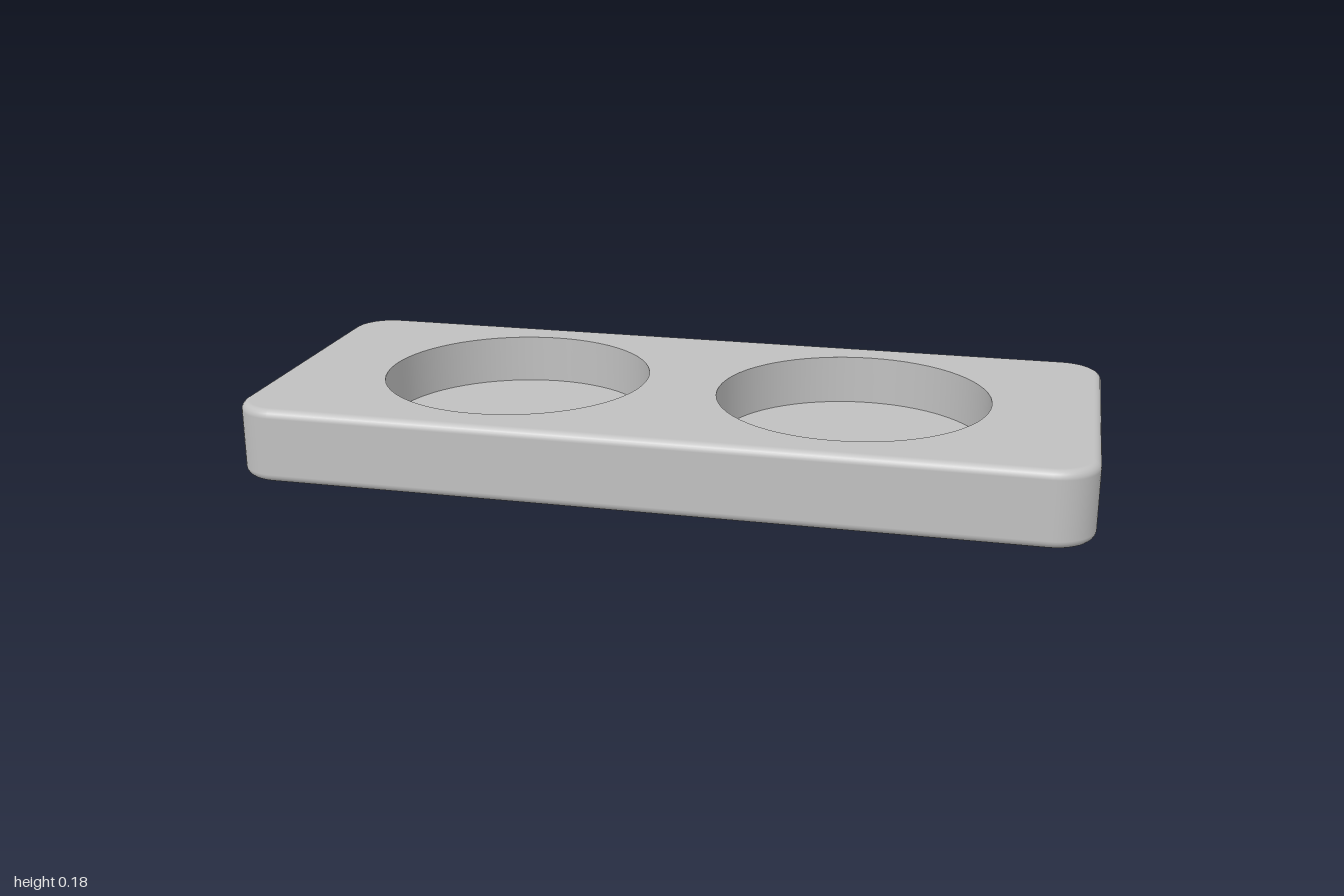
import * as THREE from 'three';

const HALF_X = 1, HALF_Z = 0.42, HEIGHT = 0.18;
const CORNER = 0.1, FILLET = 0.02, CORNER_STEPS = 12, FILLET_STEPS = 5;
const POCKET_X = 0.42, POCKET_R = 0.328, POCKET_FLOOR = 0.06, POCKET_SIDES = 64;

// Rounded rectangle pulled in by `inset`: points with their outward directions
function outline(inset) {
  const points = [];
  const signs = [[1, 1], [-1, 1], [-1, -1], [1, -1]];
  signs.forEach(([sx, sz], q) => {
    for (let i = 0; i <= CORNER_STEPS; i++) {
      const t = (q + i / CORNER_STEPS) * Math.PI / 2;
      const dx = Math.cos(t), dz = Math.sin(t), r = CORNER - inset;
      points.push({ x: sx * (HALF_X - CORNER) + r * dx, z: sz * (HALF_Z - CORNER) + r * dz, dx, dz });
    }
  });
  return points;
}

// Side wall with rounded lower and upper edges, lofted from stacked outlines
function wallGeometry() {
  const rings = [];
  for (const top of [false, true]) {
    for (let i = 0; i <= FILLET_STEPS; i++) {
      const a = (top ? i / FILLET_STEPS : i / FILLET_STEPS - 1) * Math.PI / 2;
      const base = top ? HEIGHT - FILLET : FILLET;
      rings.push({ a, y: base + FILLET * Math.sin(a), inset: FILLET * (1 - Math.cos(a)) });
    }
  }
  const pos = [], nor = [], idx = [];
  const n = 4 * (CORNER_STEPS + 1);
  rings.forEach(({ a, y, inset }, i) => {
    outline(inset).forEach((p, j) => {
      pos.push(p.x, y, p.z);
      nor.push(p.dx * Math.cos(a), Math.sin(a), p.dz * Math.cos(a));
      if (i === rings.length - 1) return;
      const k = (j + 1) % n, lo = i * n, hi = lo + n;
      idx.push(lo + j, hi + j, lo + k, hi + j, hi + k, lo + k);
    });
  });
  const geo = new THREE.BufferGeometry();
  geo.setAttribute('position', new THREE.Float32BufferAttribute(pos, 3));
  geo.setAttribute('normal', new THREE.Float32BufferAttribute(nor, 3));
  geo.setIndex(idx);
  return geo;
}

// Flat face shape matching the inner edge of the rounded rim
function faceShape() {
  return new THREE.Shape(outline(FILLET).map(p => new THREE.Vector2(p.x, p.z)));
}

export function createModel() {
  const group = new THREE.Group();
  group.name = 'twoPocketTray';
  const grey = new THREE.MeshStandardMaterial({ color: 0xc0c0c0 });
  grey.name = 'lightGrey';

  const add = (name, geo, x = 0, y = 0) => {
    const mesh = new THREE.Mesh(geo, grey);
    mesh.name = name;
    mesh.position.set(x, y, 0);
    group.add(mesh);
  };

  // Body shell
  add('sideWall', wallGeometry());
  add('underside', new THREE.ShapeGeometry(faceShape()).rotateX(Math.PI / 2));

  // Top face with two round openings
  const top = faceShape();
  for (const side of [-1, 1]) {
    const rim = [];
    for (let i = 0; i < POCKET_SIDES; i++) {
      const t = -i / POCKET_SIDES * Math.PI * 2;
      rim.push(new THREE.Vector2(side * POCKET_X + POCKET_R * Math.cos(t), POCKET_R * Math.sin(t)));
    }
    top.holes.push(new THREE.Path(rim));
  }
  add('topFace', new THREE.ShapeGeometry(top).rotateX(-Math.PI / 2), 0, HEIGHT);

  // Round pockets: inward-facing wall and flat floor
  for (const [name, side] of [['left', 1], ['right', -1]]) {
    const profile = [new THREE.Vector2(POCKET_R, HEIGHT), new THREE.Vector2(POCKET_R, POCKET_FLOOR)];
    add(name + 'PocketWall', new THREE.LatheGeometry(profile, POCKET_SIDES), side * POCKET_X);
    add(name + 'PocketFloor', new THREE.CircleGeometry(POCKET_R, POCKET_SIDES).rotateX(-Math.PI / 2), side * POCKET_X, POCKET_FLOOR);
  }
  return group;
}
